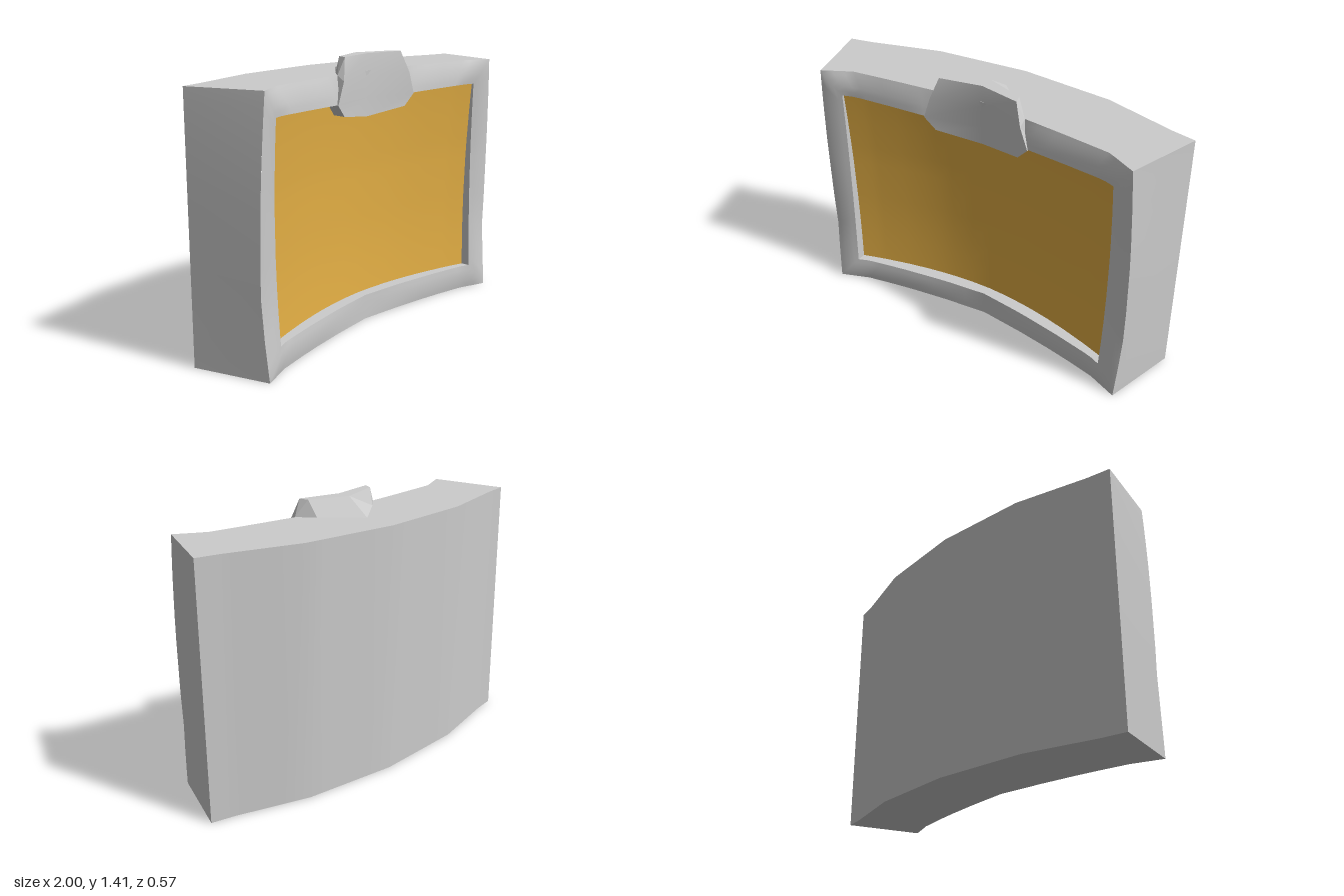
import * as THREE from 'three';
import { mergeVertices } from 'three/addons/utils/BufferGeometryUtils.js';

const grey = new THREE.MeshStandardMaterial({ color: 0xcccccc });
const flatGrey = new THREE.MeshStandardMaterial({ color: 0xcccccc, flatShading: true });
const amber = new THREE.MeshStandardMaterial({ color: 0xe5b045 });

const mix = THREE.MathUtils.lerp;

// Piecewise-linear lookup over |x|
function depth(knots, x) {
  x = Math.abs(x);
  for (let i = 1; i < knots.length; i++) {
    const [x0, z0] = knots[i - 1], [x1, z1] = knots[i];
    if (x <= x1 || i === knots.length - 1) return mix(z0, z1, (x - x0) / (x1 - x0));
  }
}

const HEIGHT = 1.326;
const BACK = [[0, -0.285], [0.5, -0.24], [0.88, -0.13], [1, -0.105]];
const TOP_EDGE = [[0, 0.115], [0.25, 0.142], [0.5, 0.17], [0.73, 0.2], [0.88, 0.28]];
const BOTTOM_EDGE = [[0, 0.11], [0.25, 0.138], [0.5, 0.175], [0.73, 0.222], [0.89, 0.285]];
const TOP_RIM = [[0, 0.1], [0.25, 0.165], [0.3, 0.178], [0.5, 0.197], [0.72, 0.222], [0.78, 0.245]];
const BOTTOM_RIM = [[0, 0.11], [0.25, 0.138], [0.5, 0.18], [0.72, 0.225], [0.78, 0.25]];

// Hollow of the front face over the height: deepest about a quarter of the way up
const HOLLOW = [[0, 0], [0.35, 0.03], [0.8, 0.019], [HEIGHT, 0]];

// Surface points addressed by a (across) and b (up), both from -1 to 1
const backPoint = (a, b) => [a, HEIGHT * (b + 1) / 2, depth(BACK, a)];

function outerPoint(a, b) {
  const t = (b + 1) / 2, y = HEIGHT * t;
  const x = a * mix(0.89, 0.88, t);
  const z = mix(depth(BOTTOM_EDGE, x), depth(TOP_EDGE, x), t) - depth(HOLLOW, y);
  return [x + a * 0.022 * (1 - b * b), y, z];
}

function rimPoint(a, b) {
  const x = 0.78 * a, t = (b + 1) / 2, bow = 1 - b * b;
  const z = mix(depth(BOTTOM_RIM, x), depth(TOP_RIM, x), t) - 0.015 * bow;
  const top = 1.185 + 0.01 * Math.abs(a);
  return [x + 0.008 * a * bow, mix(0.133, top, t), z];
}

// The screen is a shallow bowl behind the rim
function screenPoint(a, b) {
  const [x, y] = rimPoint(a, b);
  return [x, y, 0.048 + 0.016 * b + 0.022 * b * b + 0.148 * Math.pow(Math.abs(a), 1.8)];
}

const blend = (p, q, t) => p.map((v, i) => mix(v, q[i], t));

// Softly rounded face of the frame, t = 0 outside, 1 at the opening
function framePoint(a, b, t) {
  const p = blend(outerPoint(a, b), rimPoint(a, b), t);
  p[2] += 0.006 * Math.sin(Math.PI * t) * Math.min(1, Math.abs(a) * 2);
  return p;
}

// Grid surface over two parameter lists; it faces du x dv
function sheet(us, vs, fn) {
  const pos = [], index = [], n = us.length;
  vs.forEach(v => us.forEach(u => pos.push(...fn(u, v))));
  for (let j = 0; j < vs.length - 1; j++) {
    for (let i = 0; i < n - 1; i++) {
      const k = j * n + i;
      index.push(k, k + 1, k + n + 1, k, k + n + 1, k + n);
    }
  }
  let geo = new THREE.BufferGeometry();
  geo.setAttribute('position', new THREE.Float32BufferAttribute(pos, 3));
  geo.setIndex(index);
  geo = mergeVertices(geo, 1e-5);
  geo.computeVertexNormals();
  return geo;
}

// Named corners of the crest's +x half
const CREST = {
  A: [0, 1.411, 0.112], B: [0.22, 1.411, 0.157], C: [0.26, 1.3, 0.186],
  D: [0.3, 1.187, 0.185], E: [0.24, 1.125, 0.172], F: [0, 1.092, 0.112],
  G: [0, 1.411, 0.035], H: [0.205, 1.411, 0.108], I: [0, 1.326, -0.1],
  J: [0.184, 1.326, 0.065], N: [0.26, 1.326, 0.145],
  K: [0.29, 1.187, 0.1], L: [0.23, 1.125, 0.08], M: [0, 1.092, 0.03],
};

// Faceted top, back, sides and underside of one half
function crestHalf(side) {
  const pos = [];
  for (const face of ['ABHG', 'GHJI', 'HBNJ', 'BCN', 'CDKN', 'DELK', 'EFML']) {
    const ring = [...face];
    if (side < 0) ring.reverse().unshift(ring.pop());
    for (let i = 1; i < ring.length - 1; i++) {
      for (const c of [ring[0], ring[i], ring[i + 1]]) {
        const [x, y, z] = CREST[c];
        pos.push(x * side, y, z);
      }
    }
  }
  const geo = new THREE.BufferGeometry();
  geo.setAttribute('position', new THREE.Float32BufferAttribute(pos, 3));
  geo.computeVertexNormals();
  return geo;
}

// Front of the crest: rows of edge corners joined through a centre ridge line
function crestFrontPoint(u, corner) {
  const [x, y, z] = CREST[corner];
  const { A, F } = CREST;
  const centreY = corner === 'E' ? F[1] : corner === 'B' ? A[1] : y;
  return u === 0 ? [0, centreY, 0.112] : [u * x, y, z];
}

export function createModel() {
  const model = new THREE.Group();
  model.name = 'curvedDisplay';
  const add = (name, geo, mat) => {
    const mesh = new THREE.Mesh(geo, mat);
    mesh.name = name;
    model.add(mesh);
  };

  const half = [0.14, 0.284, 0.385, 0.5, 0.65, 0.825, 0.88, 0.94, 1];
  const across = [...half.map(v => -v).reverse(), 0, ...half];
  const up = [-1, -0.9, -0.7, -0.472, -0.2, 0.2, 0.4, 0.7, 0.9, 1];

  // Closed casing: back, top, bottom and two sides
  add('backPanel', sheet(across, [-1, 1], (a, b) => backPoint(-a, b)), grey);
  add('topPanel', sheet(across, [1, 0], (a, t) => blend(backPoint(a, 1), outerPoint(a, 1), t)), flatGrey);
  add('bottomPanel', sheet(across, [0, 1], (a, t) => blend(backPoint(a, -1), outerPoint(a, -1), t)), flatGrey);
  for (const s of [1, -1]) {
    add(s > 0 ? 'leftPanel' : 'rightPanel',
      sheet(up, [0, 1], (b, t) => blend(backPoint(s, s * b), outerPoint(s, s * b), t)), grey);
  }

  // Front frame and the wall of its opening, swept around the perimeter
  const down = [...up].reverse(), leftward = [...across].reverse();
  const loop = [
    ...across.map(a => [a, -1]), ...up.slice(1).map(b => [1, b]),
    ...leftward.slice(1).map(a => [a, 1]), ...down.slice(1).map(b => [-1, b]),
  ];
  add('frontFrame', sheet(loop, [0, 0.15, 0.35, 0.6, 0.8, 1], ([a, b], t) => framePoint(a, b, t)), grey);
  add('openingWall', sheet(loop, [0, 1], ([a, b], t) => blend(rimPoint(a, b), screenPoint(a, b), t)), flatGrey);

  // Recessed curved screen
  add('screen', sheet(across, up, screenPoint), amber);

  // Crest over the top edge
  add('crestFront', sheet([-1, 0, 1], ['E', 'D', 'C', 'B'], crestFrontPoint), grey);
  add('crestLeft', crestHalf(1), flatGrey);
  add('crestRight', crestHalf(-1), flatGrey);
  return model;
}
